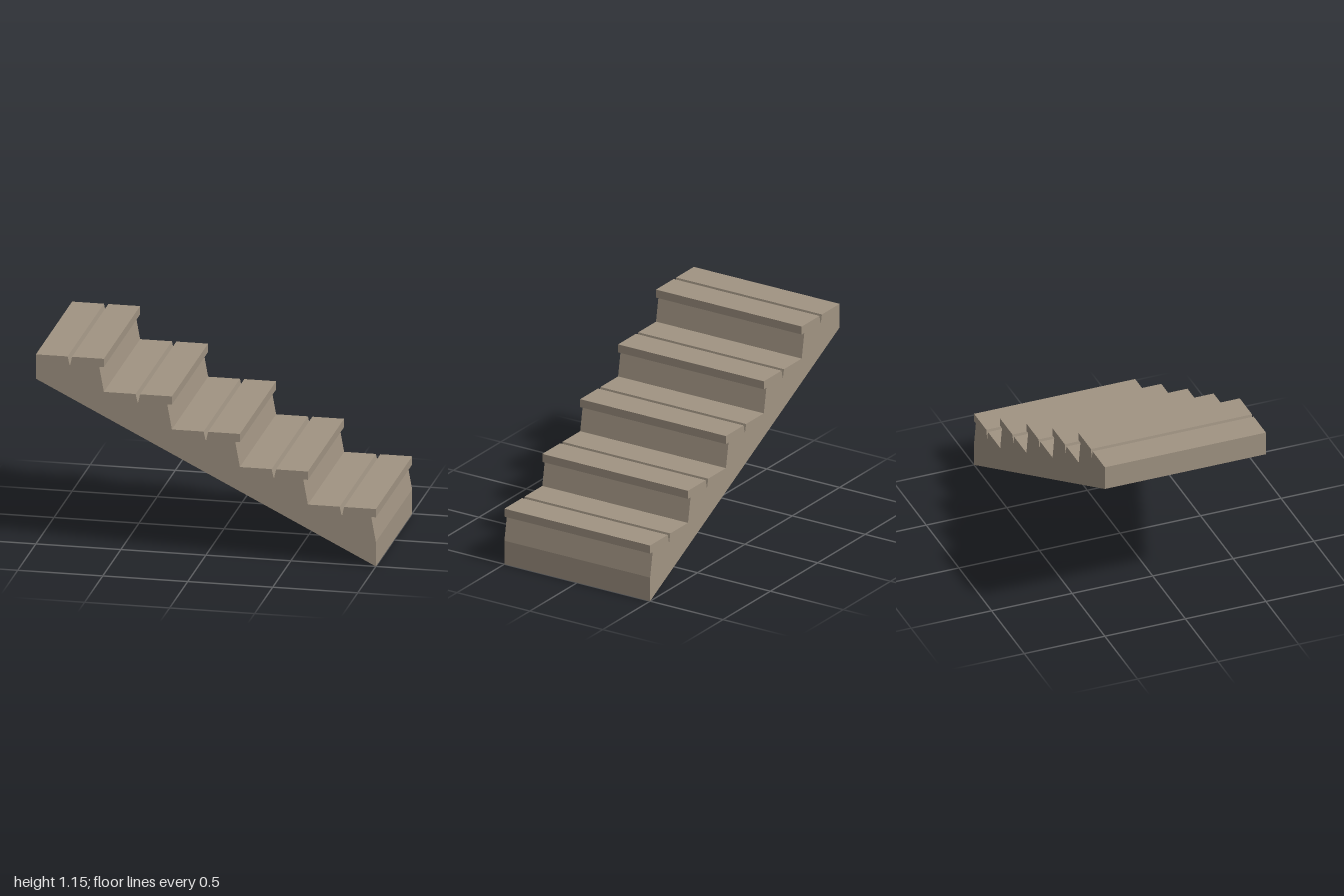
import * as THREE from 'three';

const STEPS = 5, RUN = 0.4, RISE = 0.2, WIDTH = 1;
const BASE = 0.147;      // height of the straight foot below each riser
const LIP = 0.05;        // nosing thickness and groove depth
const OVERHANG = 0.027;  // how far the riser leans back under the nosing
const GROOVE = 0.013;    // half width of the anti-slip groove

export function createModel() {
  const model = new THREE.Group();
  const stone = new THREE.MeshStandardMaterial({ color: 0xa09382 });
  stone.name = 'stone';

  // Sloping underside and foot
  const profile = new THREE.Shape();
  profile.moveTo(-1, STEPS * RISE);
  profile.lineTo(1, 0);

  // Each step from the bottom up: leaning riser, nosing, grooved tread
  for (let i = 0; i < STEPS; i++) {
    const x = 1 - i * RUN;
    const foot = BASE + i * RISE;
    const top = foot + RISE;
    const mid = x - RUN / 2;
    profile.lineTo(x, foot);
    profile.lineTo(x - OVERHANG, top - LIP);
    profile.lineTo(x, top - LIP);
    profile.lineTo(x, top);
    profile.lineTo(mid + GROOVE, top);
    profile.lineTo(mid + 0.002, top - LIP);
    profile.lineTo(mid - 0.002, top - LIP);
    profile.lineTo(mid - GROOVE, top);
  }
  profile.lineTo(-1, BASE + STEPS * RISE);
  profile.closePath();

  const geometry = new THREE.ExtrudeGeometry(profile, { depth: WIDTH, bevelEnabled: false });
  geometry.translate(0, 0, -WIDTH / 2);
  const stairs = new THREE.Mesh(geometry, stone);
  stairs.name = 'stairFlight';
  model.add(stairs);
  return model;
}
